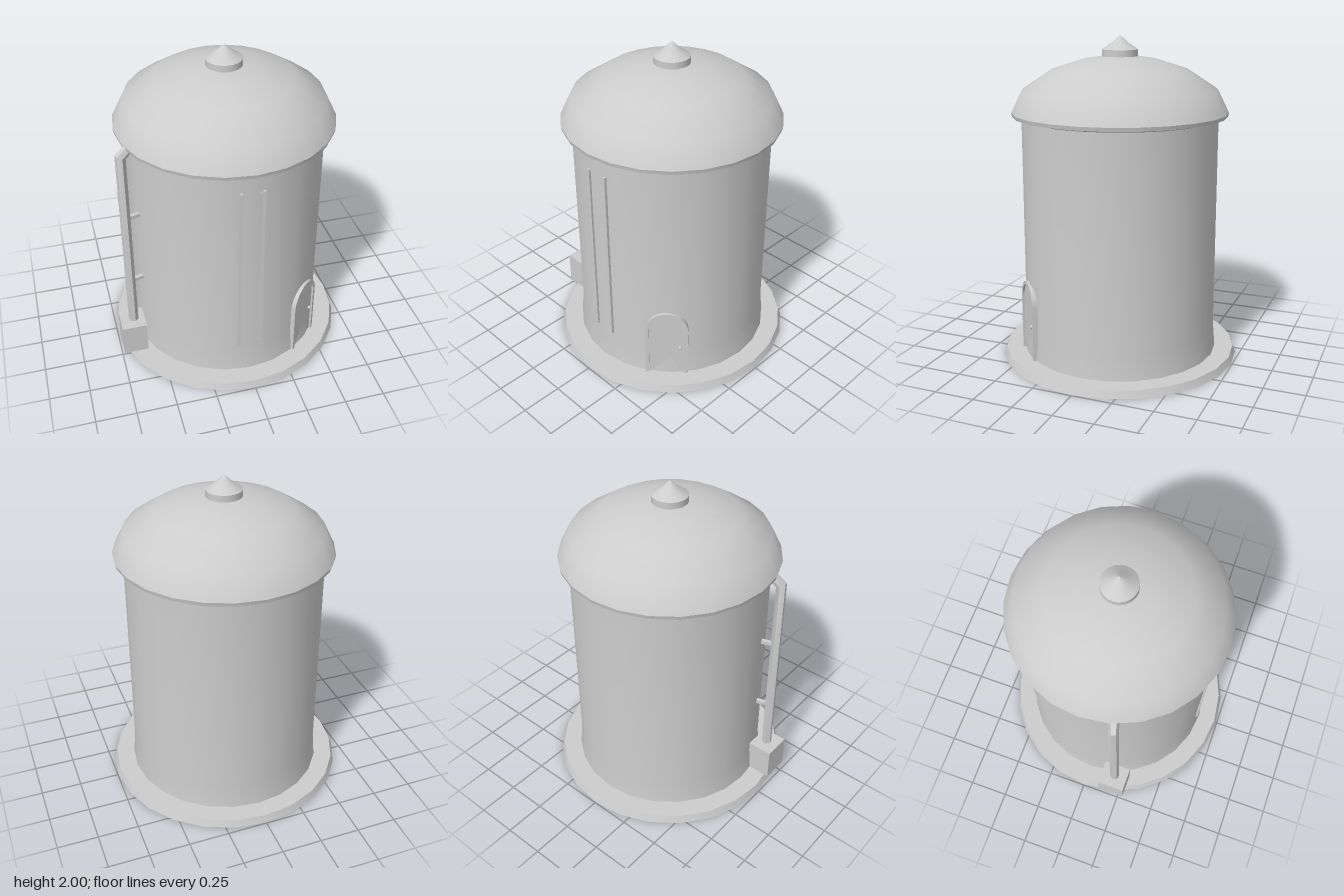
import * as THREE from 'three';
import { toCreasedNormals } from 'three/addons/utils/BufferGeometryUtils.js';

export function createModel() {
  const model = new THREE.Group();
  model.name = 'silo';
  const grey = new THREE.MeshStandardMaterial({ color: 0xcccccc });
  grey.name = 'plain grey';

  const add = (name, geometry, parent = model, x = 0, y = 0, z = 0) => {
    const mesh = new THREE.Mesh(toCreasedNormals(geometry, 0.7), grey);
    mesh.name = name;
    mesh.position.set(x, y, z);
    parent.add(mesh);
    return mesh;
  };
  const box = (name, w, h, d, x, y, z, parent) =>
    add(name, new THREE.BoxGeometry(w, h, d), parent, x, y, z);
  const lathe = (name, points, sides = 24) =>
    add(name, new THREE.LatheGeometry(points.map(([r, y]) => new THREE.Vector2(r, y)), sides));

  // Round body, from the ground up
  lathe('foundation', [[0, 0], [0.745, 0], [0.728, 0.045], [0, 0.045]]);
  lathe('wall', [[0.612, 0.045], [0.599, 0.2], [0.599, 1.52]]);
  lathe('roofRim', [[0.58, 1.506], [0.605, 1.508], [0.655, 1.52], [0.66, 1.543]]);
  lathe('domeRoof', [[0.66, 1.543], [0.593, 1.68], [0.413, 1.797], [0.227, 1.857], [0.1, 1.876], [0, 1.88]]);
  lathe('roofVent', [[0.108, 1.865], [0.108, 1.915]]);
  lathe('roofVentCap', [[0.108, 1.915], [0.05, 1.955], [0, 2]]);

  // Tall narrow frame on the front of the wall
  for (const x of [-0.066, 0.066]) box('frontRail', 0.018, 1.14, 0.035, x, 0.82, 0.5875);
  for (const y of [0.265, 1.377]) box('frontCrossbar', 0.13, 0.006, 0.024, 0, y, 0.583);

  // Arched door, set on the wall between the front and the left
  const door = new THREE.Group();
  door.name = 'door';
  door.rotation.y = 0.733;
  model.add(door);
  const foot = 0.045, spring = 0.385;
  const arch = (r) => {
    const s = new THREE.Shape();
    s.moveTo(-r, foot);
    s.lineTo(r, foot);
    s.lineTo(r, spring);
    s.absarc(0, spring, r, 0, Math.PI, false);
    s.lineTo(-r, foot);
    return s;
  };
  const surround = new THREE.Shape();
  surround.moveTo(0.11, foot);
  surround.lineTo(0.13, foot);
  surround.lineTo(0.13, spring);
  surround.absarc(0, spring, 0.13, 0, Math.PI, false);
  surround.lineTo(-0.13, foot);
  surround.lineTo(-0.11, foot);
  surround.lineTo(-0.11, spring);
  surround.absarc(0, spring, 0.11, Math.PI, 0, true);
  surround.lineTo(0.11, foot);
  const extrude = (shape, depth) =>
    new THREE.ExtrudeGeometry(shape, { depth, bevelEnabled: false, curveSegments: 10 });
  add('doorFrame', extrude(surround, 0.05), door, 0, 0, 0.563);
  add('doorPanel', extrude(arch(0.112), 0.035), door, 0, 0, 0.566);
  add('doorKnob', new THREE.SphereGeometry(0.011, 10, 8), door, 0.08, 0.25, 0.608);

  // Filler pipe on the right: upright, then mitred and bent into the roof
  box('pipeBox', 0.155, 0.207, 0.175, -0.6625, 0.1485, 0.1975);
  const filler = new THREE.Group();
  filler.name = 'filler';
  filler.rotation.y = 0.295;
  model.add(filler);
  const pipe = new THREE.CylinderGeometry(0.031, 0.031, 2, 6, 2);
  const p = pipe.attributes.position;
  const rise = THREE.MathUtils.degToRad(39), tilt = Math.PI / 2 - rise, length = 0.539;
  for (let i = 0; i < p.count; i++) {
    const u = p.getX(i), ring = Math.round(p.getY(i));
    if (ring < 0) p.setY(i, 0.24);
    else if (ring === 0) p.setY(i, 1.48 - u * Math.tan(tilt / 2));
    else {
      p.setX(i, length * Math.cos(rise) + u * Math.cos(tilt));
      p.setY(i, 1.48 + length * Math.sin(rise) - u * Math.sin(tilt));
    }
  }
  add('fillerPipe', pipe, filler, -0.685);
  for (const y of [0.573, 1.05]) box('pipeBracket', 0.1, 0.022, 0.025, -0.625, y, 0, filler);

  return model;
}
